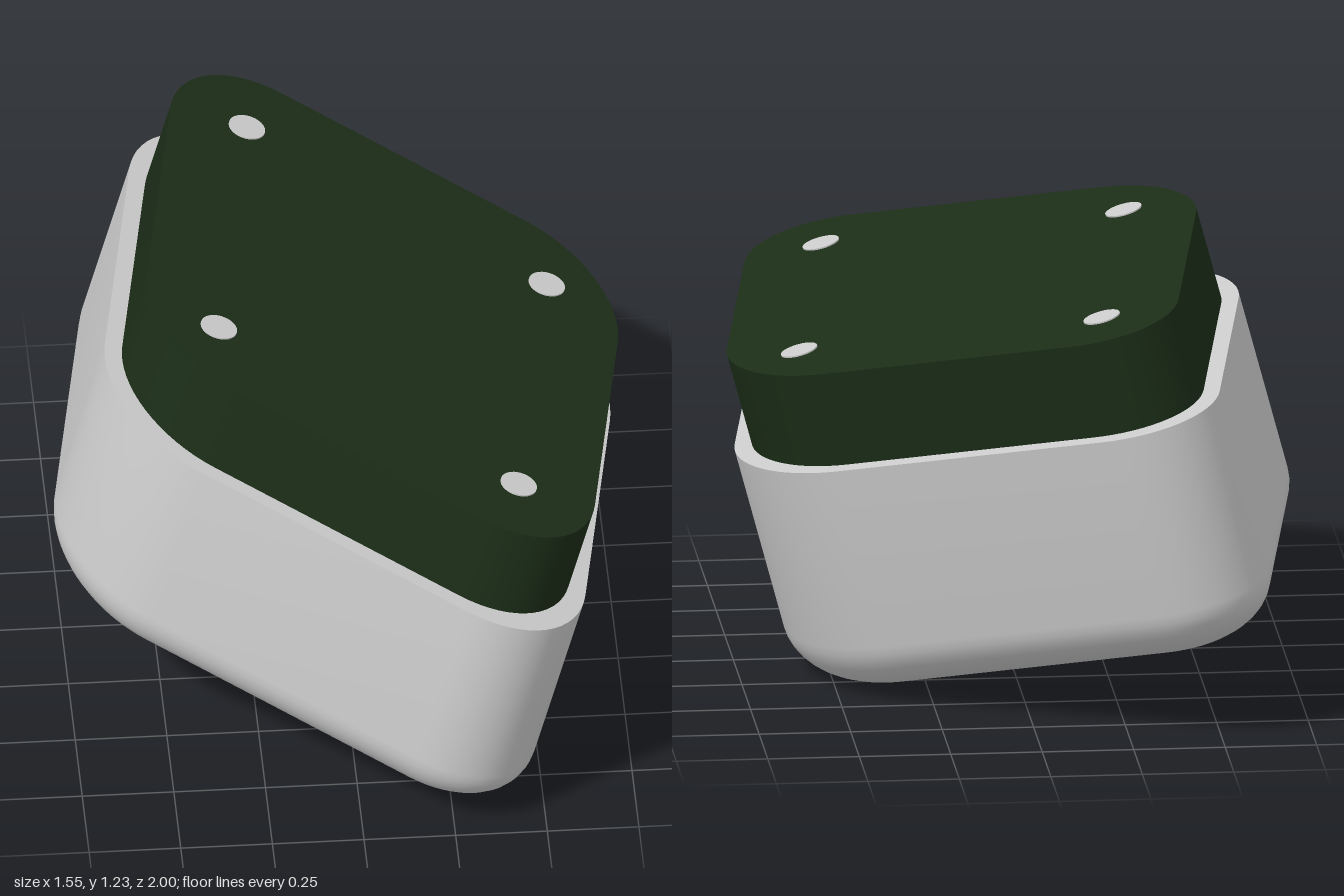
import * as THREE from 'three';
import { toCreasedNormals } from 'three/addons/utils/BufferGeometryUtils.js';

// Half edges of the rhombic plan, as [x, z]
const A = [-0.1135, 0.693];
const B = [0.6035, 0.363];
const CORNER = 0.455; // corner rounding as a share of the half edge
const SEG = 16;

const plan = (a, b, s) => [a * A[0] + b * B[0], a * A[1] + b * B[1]].map((v) => v * s);

// Rounded rhombus outline, shrunk by an inset that keeps the corners concentric
function ring(scale, inset, y) {
  const pts = [];
  for (let q = 0; q < 4; q++) {
    const sb = q === 0 || q === 3 ? 1 : -1;
    const sa = q < 2 ? 1 : -1;
    for (let i = 0; i <= SEG; i++) {
      const t = ((q + i / SEG) * Math.PI) / 2;
      const r = CORNER - inset;
      const [x, z] = plan(sa * (1 - CORNER) + r * Math.sin(t), sb * (1 - CORNER) + r * Math.cos(t), scale);
      pts.push([x, y, z]);
    }
  }
  return pts;
}

// Closed solid through rings listed from bottom to top
function loft(rings) {
  const pos = [];
  const n = rings[0].length;
  const last = rings.length - 1;
  const bottom = [0, rings[0][0][1], 0];
  const top = [0, rings[last][0][1], 0];
  for (let j = 0; j < n; j++) {
    const k = (j + 1) % n;
    pos.push(...bottom, ...rings[0][j], ...rings[0][k]);
    pos.push(...top, ...rings[last][k], ...rings[last][j]);
    for (let i = 0; i < last; i++) {
      const lo = rings[i], hi = rings[i + 1];
      pos.push(...lo[j], ...hi[j], ...lo[k], ...lo[k], ...hi[j], ...hi[k]);
    }
  }
  const geo = new THREE.BufferGeometry();
  geo.setAttribute('position', new THREE.Float32BufferAttribute(pos, 3));
  return toCreasedNormals(geo, 0.6);
}

export function createModel() {
  const model = new THREE.Group();
  model.name = 'tiltedBox';
  const grey = new THREE.MeshStandardMaterial({ color: 0xcccccc });
  const green = new THREE.MeshStandardMaterial({ color: 0x1b2d17 });

  // Everything is built upright, then leaned sideways
  const tilt = new THREE.Group();
  tilt.name = 'tiltedAssembly';
  tilt.rotation.z = -Math.PI / 12;
  model.add(tilt);
  const add = (name, geo, mat, x = 0, y = 0, z = 0) => {
    const mesh = new THREE.Mesh(geo, mat);
    mesh.name = name;
    mesh.position.set(x - 0.15, y, z);
    tilt.add(mesh);
  };

  // Body with a rounded lower edge
  const base = 0.105, filletHeight = 0.16, filletInset = 0.3, bodyTop = 0.783;
  const bodyRings = [];
  for (let i = 0; i <= 10; i++) {
    const t = (i / 10) * (Math.PI / 2);
    bodyRings.push(ring(1.074, filletInset * (1 - Math.sin(t)), base + filletHeight * (1 - Math.cos(t))));
  }
  bodyRings.push(ring(1.074, 0, bodyTop));
  add('body', loft(bodyRings), grey);

  // Straight-sided inset lid
  const lidTop = 1.049;
  add('lid', loft([ring(1, 0, bodyTop), ring(1, 0, lidTop)]), green);

  // Four thin studs near the lid corners
  const stud = new THREE.CylinderGeometry(0.051, 0.051, 0.02, 32);
  for (const a of [-1, 1]) {
    for (const b of [-1, 1]) {
      const [x, z] = plan(a, b, 0.67);
      add('stud', stud, grey, x, lidTop - 0.006, z);
    }
  }
  return model;
}
